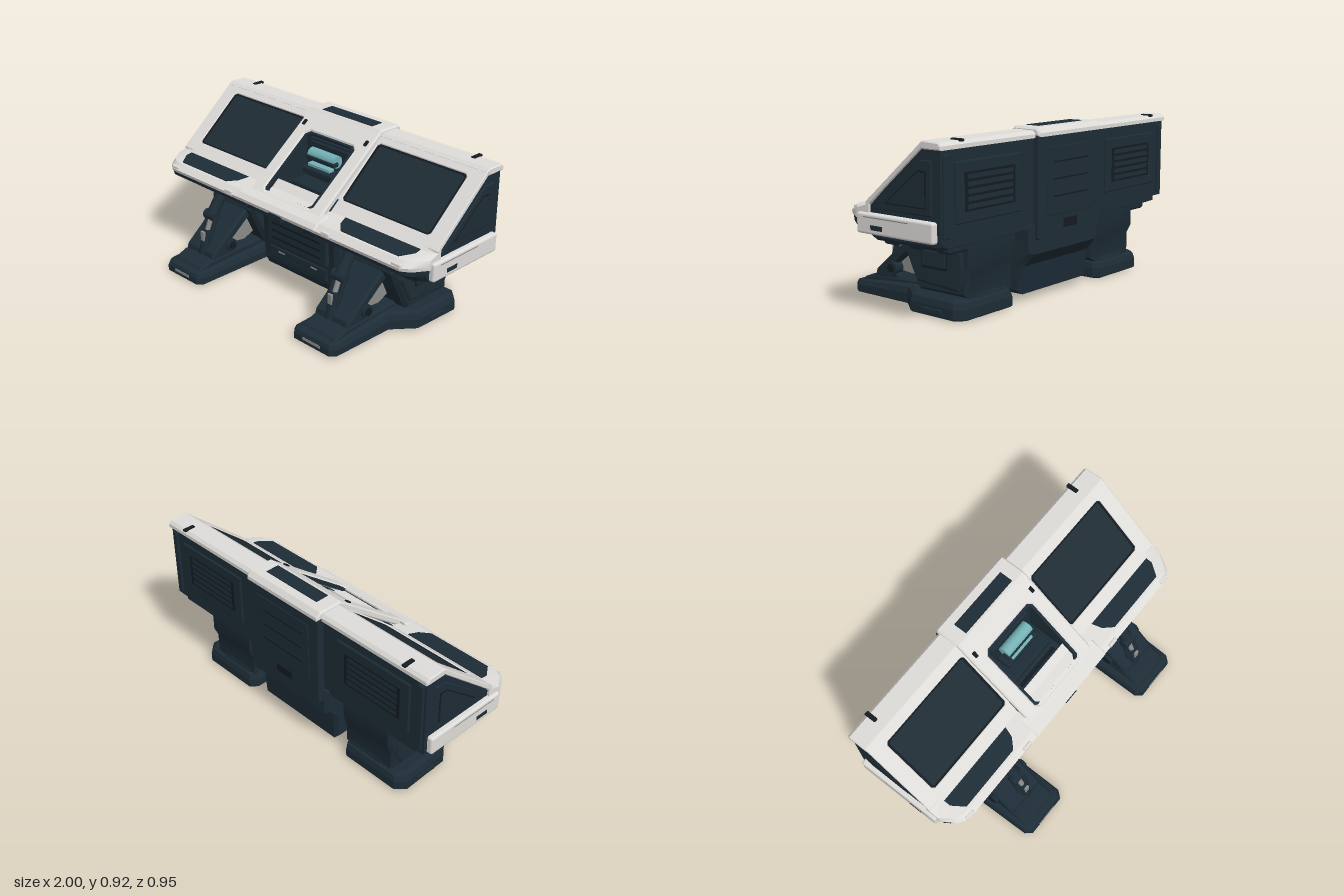
import * as THREE from 'three';
import { toCreasedNormals } from 'three/addons/utils/BufferGeometryUtils.js';
import { RoundedBoxGeometry } from 'three/addons/geometries/RoundedBoxGeometry.js';

const mat = (name, color) => {
  const m = new THREE.MeshStandardMaterial({ color });
  m.name = name;
  return m;
};

export function createModel() {
  const white = mat('white shell', 0xdedcd9), dark = mat('dark blue metal', 0x1d2c36);
  const screenMat = mat('screen glass', 0x1f2c34), teal = mat('teal glow', 0x74b2b6);
  const grey = mat('grey steel', 0x8b8b89), black = mat('black trim', 0x131b21);
  const model = new THREE.Group();
  model.name = 'controlConsole';

  const add = (name, geo, m, parent = model) => {
    const mesh = new THREE.Mesh(geo, m);
    mesh.name = name;
    parent.add(mesh);
    return mesh;
  };
  const poly = (pts) => new THREE.Shape(pts.map(([x, y]) => new THREE.Vector2(x, y)));

  // Profile of [z, y] points swept along x from a to b; rounded pulls in the front corners
  function sweep(name, pts, a, b, m, { bevel = 0, rounded = false } = {}) {
    const lo = Math.min(a, b) + bevel, hi = Math.max(a, b) - bevel;
    let geo = new THREE.ExtrudeGeometry(poly(pts.map(([z, y]) => [-z, y])), {
      depth: hi - lo, steps: rounded ? 40 : 1, bevelEnabled: bevel > 0,
      bevelThickness: bevel, bevelSize: bevel, bevelOffset: -bevel, bevelSegments: 1,
    });
    geo.rotateY(Math.PI / 2).translate(lo, 0, 0);
    if (rounded) {
      const p = geo.attributes.position;
      for (let i = 0; i < p.count; i++) {
        const t = Math.max(0, (Math.abs(p.getX(i)) - 0.87) / 0.11), z = p.getZ(i);
        if (z > 0.03) p.setZ(i, 0.03 + (z - 0.03) * (1 - 0.55 * t * t));
      }
      geo.computeVertexNormals();
    }
    geo = toCreasedNormals(geo, 0.5);
    return add(name, geo, m);
  }
  const box = (name, w, h, d, x, y, z, m, r = 0, parent = model) => {
    const geo = r ? new RoundedBoxGeometry(w, h, d, 2, r) : new THREE.BoxGeometry(w, h, d);
    const b = add(name, geo, m, parent);
    b.position.set(x, y, z);
    return b;
  };
  // Group lying on the slope between two [z, y] points: local y runs uphill, local z outward
  function slope(name, [z0, y0], [z1, y1]) {
    const g = new THREE.Group();
    g.name = name;
    g.position.set(0, (y0 + y1) / 2, (z0 + z1) / 2);
    g.rotation.x = -Math.atan2(z1 - z0, y0 - y1);
    model.add(g);
    return g;
  }
  const chamfered = (x0, x1, y0, y1, c, Type = THREE.Shape) => new Type([
    [x0 + c, y0], [x1 - c, y0], [x1, y0 + c], [x1, y1 - c], [x1 - c, y1], [x0 + c, y1], [x0, y1 - c], [x0, y0 + c],
  ].map(([x, y]) => new THREE.Vector2(x, y)));
  // Flat panel with a chamfered outline and an optional hole
  function panel(name, outer, hole, depth, m, parent, z = 0, bevel = 0) {
    const s = chamfered(...outer);
    if (hole) s.holes.push(chamfered(...hole, THREE.Path));
    const geo = new THREE.ExtrudeGeometry(s, {
      depth: depth - bevel, bevelEnabled: bevel > 0, bevelThickness: bevel, bevelSize: bevel, bevelOffset: -bevel, bevelSegments: 1,
    });
    const p = add(name, geo, m, parent);
    p.position.z = z;
    return p;
  }
  // Cylinder between two [z, y] points at a given x
  function rod(name, x, [z0, y0], [z1, y1], r, m, sides = 10) {
    const c = add(name, new THREE.CylinderGeometry(r, r, Math.hypot(z1 - z0, y1 - y0), sides), m);
    c.position.set(x, (y0 + y1) / 2, (z0 + z1) / 2);
    c.rotation.x = Math.atan2(z1 - z0, y1 - y0);
  }
  const disc = (name, x, y, z, r, w, m) => {
    const d = add(name, new THREE.CylinderGeometry(r, r, w, 16), m);
    d.rotation.z = Math.PI / 2;
    d.position.set(x, y, z);
  };

  // Full-width white top rail and front lip
  sweep('topRail', [[-0.445, 0.86], [-0.445, 0.88], [-0.43, 0.897], [-0.325, 0.9], [-0.305, 0.885], [-0.33, 0.86]], -0.98, 0.98, white, { bevel: 0.006 });
  sweep('frontLip', [[0.03, 0.598], [0.075, 0.561], [0.2, 0.543], [0.235, 0.512], [0.228, 0.492], [0.03, 0.492]], -0.98, 0.98, white, { rounded: true });

  for (const s of [1, -1]) {
    const X = (a, b) => (s > 0 ? [a, b] : [-b, -a]);
    // Wing body and underside tray
    sweep('wingBody', [[-0.432, 0.42], [-0.432, 0.865], [-0.31, 0.865], [0.09, 0.528], [0.22, 0.5], [0.215, 0.465], [0.15, 0.42]], s * 0.25, s * 0.968, dark, { rounded: true });
    sweep('underTray', [[-0.42, 0.39], [-0.42, 0.43], [0.16, 0.43], [0.1, 0.4], [0.05, 0.375], [-0.38, 0.375]], s * 0.25, s * 0.92, dark, { bevel: 0.015 });
    // Sloped screen frame with recessed screen
    const face = slope('screenPanel', [-0.32, 0.895], [0.06, 0.573]);
    panel('screenFrame', [...X(0.25, 0.978), -0.25, 0.25, 0.004], [...X(0.282, 0.885), -0.185, 0.19, 0.015], 0.022, white, face, -0.022, 0.004);
    panel('screenBezel', [...X(0.275, 0.892), -0.195, 0.2, 0.015], [...X(0.295, 0.872), -0.175, 0.18, 0.01], 0.009, black, face, -0.015);
    panel('screen', [...X(0.28, 0.885), -0.19, 0.195, 0.01], null, 0.006, screenMat, face, -0.015);
    // Dark control strip on the lip
    const strip = slope('controlStrip', [0.075, 0.561], [0.2, 0.543]);
    const shape = poly([[0.38, 0.06], [0.89, 0.06], [0.89, 0.02], [0.84, -0.05], [0.45, -0.05], [0.4, 0]].map(([x, y]) => [x * s, y]));
    add('controlPad', new THREE.ExtrudeGeometry(shape, { depth: 0.004, bevelEnabled: false }), dark, strip);
    // White side arm with slot
    box('sideArm', 0.05, 0.105, 0.51, s * 0.974, 0.472, -0.155, white, 0.014);
    box('armGroove', 0.006, 0.005, 0.3, s * 0.997, 0.505, -0.1, grey);
    box('armSlot', 0.006, 0.024, 0.08, s * 0.997, 0.456, -0.04, dark);
    // Triangular side panel: raised rim and inner plate
    const tri = (k) => [[-0.38, 0.81], [-0.31, 0.81], [0.02, 0.545], [-0.38, 0.545]].map(([z, y]) => [-0.27 + (z + 0.27) * k, 0.65 + (y - 0.65) * k]);
    sweep('sideTriangle', tri(1), s * 0.955, s * 0.974, dark, { bevel: 0.006 });
    sweep('sideTriangleInset', tri(0.68), s * 0.97, s * 0.976, black);
    sweep('sideTrianglePlate', tri(0.62), s * 0.97, s * 0.98, dark);
    // Back hatch with louvres
    box('backHatch', 0.5, 0.3, 0.02, s * 0.62, 0.65, -0.432, dark, 0.008);
    box('hatchInset', 0.38, 0.19, 0.006, s * 0.62, 0.65, -0.441, black);
    for (let i = 0; i < 5; i++) box('louvre', 0.34, 0.022, 0.01, s * 0.62, 0.578 + i * 0.036, -0.442, dark);
    box('backEdgeStrip', 0.04, 0.4, 0.02, s * 0.935, 0.64, -0.433, dark, 0.008);
    box('topClip', 0.025, 0.014, 0.07, s * 0.83, 0.898, -0.415, black, 0.005);
    // White bracket chips at the lip
    for (const x of [0.38, 0.86]) box('lipBracket', 0.06, 0.03, 0.02, s * x, 0.515, x > 0.8 ? 0.222 : 0.228, white, 0.006);

    // Leg pod with side plates and knobs
    sweep('legPod', [[-0.375, 0.1], [-0.375, 0.22], [-0.4, 0.27], [-0.4, 0.4], [0.06, 0.4], [0.08, 0.35], [-0.03, 0.12], [-0.05, 0.1]], s * 0.36, s * 0.72, dark, { bevel: 0.02 });
    sweep('podPlate', [[-0.33, 0.13], [-0.36, 0.2], [-0.35, 0.34], [0.02, 0.34], [0.03, 0.3], [-0.05, 0.15]], s * 0.7, s * 0.735, dark, { bevel: 0.012 });
    box('podHatchRim', 0.01, 0.1, 0.175, s * 0.733, 0.278, -0.17, black, 0.004);
    box('podHatch', 0.02, 0.085, 0.16, s * 0.735, 0.278, -0.17, dark, 0.008);
    for (const z of [-0.08, -0.21]) disc('podKnob', s * 0.72, 0.355, z, 0.025, 0.07, dark);
    for (const z of [0.01, -0.16, -0.34]) box('podPad', 0.14, 0.06, 0.1, s * 0.79, 0.375, z, dark, 0.02);
    box('innerBrace', 0.07, 0.28, 0.3, s * 0.335, 0.25, -0.17, dark, 0.02);

    // Foot: outline widening to the back, lower at the toe
    const plan = [[0.4, 0.475], [0.65, 0.475], [0.68, 0.44], [0.69, 0.06], [0.79, -0.06], [0.8, -0.35], [0.75, -0.4], [0.4, -0.4], [0.37, -0.36], [0.37, 0.44]];
    const foot = new THREE.ExtrudeGeometry(poly(plan.map(([x, z]) => [x * s, -z])), {
      depth: 0.04, bevelEnabled: true, bevelThickness: 0.035, bevelSize: 0.035, bevelOffset: -0.035, bevelSegments: 2,
    });
    foot.rotateX(-Math.PI / 2);
    const p = foot.attributes.position;
    for (let i = 0; i < p.count; i++) {
      const y = p.getY(i);
      p.setY(i, y < 0 ? (y + 0.035) * 0.3 : 0.0105 + y * (p.getZ(i) > 0.3 ? 0.85 : 1.25));
    }
    foot.computeVertexNormals();
    add('foot', foot, dark);
    sweep('footRidge', [[0.44, 0.06], [0.42, 0.085], [0.35, 0.112], [0.05, 0.125], [-0.37, 0.14], [-0.39, 0.06]], s * 0.41, s * 0.65, dark, { bevel: 0.012 });
    box('toePlate', 0.13, 0.02, 0.03, s * 0.525, 0.035, 0.462, grey, 0.005);
    box('footSidePlate', 0.012, 0.025, 0.13, s * 0.798, 0.035, -0.21, dark, 0.004);

    // Diagonal strut, grey web and pivot
    sweep('legStrut', [[0.34, 0.1], [0.33, 0.14], [0.2, 0.25], [0.06, 0.36], [-0.02, 0.36], [-0.02, 0.3], [0.06, 0.285], [0.19, 0.185], [0.16, 0.11]], s * 0.41, s * 0.65, dark, { bevel: 0.012 });
    sweep('legWeb', [[0.2, 0.19], [0.17, 0.15], [0.06, 0.14], [-0.01, 0.17], [0.0, 0.3], [0.08, 0.285]], s * 0.45, s * 0.61, grey);
    disc('pivotRim', s * 0.53, 0.165, 0.2, 0.036, 0.27, dark);
    disc('pivotCap', s * 0.53, 0.165, 0.2, 0.022, 0.285, black);
    // Front piston
    rod('pistonSleeve', s * 0.51, [0.17, 0.45], [0.255, 0.33], 0.034, dark);
    disc('pistonJoint', s * 0.51, 0.335, 0.252, 0.03, 0.085, dark);
    rod('pistonRod', s * 0.51, [0.25, 0.34], [0.31, 0.2], 0.015, grey);
    rod('pistonBase', s * 0.51, [0.285, 0.255], [0.32, 0.11], 0.03, dark);
    box('pistonCap', 0.03, 0.06, 0.015, s * 0.51, 0.225, 0.322, grey, 0.004);
    for (const dx of [-0.035, 0.035]) rod('pistonRail', s * 0.51 + dx, [0.25, 0.335], [0.3, 0.2], 0.012, dark, 6);
    // Walls beside the centre bay
    sweep('bayWall', [[-0.455, 0.36], [-0.455, 0.87], [-0.32, 0.87], [0.12, 0.53], [0.21, 0.5], [0.2, 0.45], [0.1, 0.38]], s * 0.185, s * 0.27, dark);
  }

  // Centre bay: notched body, white frame, top cap and lip
  sweep('bayBody', [[-0.455, 0.36], [-0.455, 0.87], [-0.31, 0.87], [-0.2, 0.79], [-0.2, 0.53], [0.12, 0.51], [0.2, 0.51], [0.2, 0.45], [0.1, 0.38]], -0.19, 0.19, dark);
  const bay = slope('bayPanel', [-0.31, 0.912], [0.17, 0.548]);
  panel('bayFrame', [-0.272, 0.272, -0.301, 0.301, 0.01], [-0.188, 0.188, -0.276, 0.163, 0.025], 0.03, white, bay, -0.03, 0.008);
  panel('bayGasket', [-0.192, 0.192, -0.282, 0.17, 0.025], [-0.172, 0.172, -0.264, 0.151, 0.02], 0.022, dark, bay, -0.03);
  for (const x of [-0.235, 0.235]) box('bayLatch', 0.02, 0.035, 0.012, x, 0.2, 0.002, black, 0.004, bay);
  sweep('bayTopCap', [[-0.472, 0.865], [-0.472, 0.885], [-0.45, 0.912], [-0.31, 0.914], [-0.29, 0.895], [-0.33, 0.865]], -0.272, 0.272, white, { bevel: 0.01 });
  box('topVent', 0.38, 0.008, 0.08, 0, 0.912, -0.362, dark);
  sweep('bayLip', [[0.13, 0.566], [0.17, 0.552], [0.215, 0.54], [0.238, 0.515], [0.23, 0.495], [0.13, 0.495]], -0.31, 0.31, white, { bevel: 0.01 });
  box('lipLatch', 0.1, 0.045, 0.03, 0, 0.485, 0.22, dark, 0.008);

  // Glowing core inside the bay
  box('coreBacking', 0.3, 0.2, 0.02, 0, 0.68, -0.195, dark, 0.008);
  const core = add('glowTube', new THREE.CylinderGeometry(0.036, 0.036, 0.2, 20), teal);
  core.rotation.z = Math.PI / 2;
  core.position.set(0, 0.725, -0.15);
  box('coreBand', 0.22, 0.026, 0.045, 0, 0.714, -0.13, dark, 0.008);
  box('glowBar', 0.17, 0.02, 0.04, 0, 0.677, -0.12, teal, 0.005);
  box('coreShelf', 0.25, 0.04, 0.09, 0, 0.637, -0.14, dark, 0.01);
  box('bayStep', 0.32, 0.06, 0.12, 0, 0.55, -0.1, dark, 0.012);
  for (let i = 0; i < 4; i++) box('bayFloorSlat', 0.3, 0.01, 0.02, 0, 0.525, -0.01 + i * 0.037, black);

  // Centre pedestal under the bay
  sweep('pedestal', [[-0.37, 0.04], [-0.38, 0.19], [-0.445, 0.26], [-0.445, 0.42], [0.09, 0.42], [0.06, 0.36], [0.05, 0.09], [0.02, 0.04]], -0.3, 0.3, dark, { bevel: 0.022 });
  box('pedestalFrontPanel', 0.48, 0.19, 0.04, 0, 0.295, 0.055, dark, 0.016);
  for (let i = 0; i < 3; i++) box('frontSlot', 0.38, 0.012, 0.008, 0, 0.25 + i * 0.045, 0.073, black);
  box('pedestalLowerPanel', 0.46, 0.08, 0.03, 0, 0.145, 0.045, dark, 0.012);
  for (const x of [-0.13, 0.13]) box('lowerMark', 0.05, 0.008, 0.006, x, 0.16, 0.06, grey);

  // Centre back cover with vents
  sweep('backCover', [[-0.44, 0.335], [-0.47, 0.34], [-0.47, 0.865], [-0.44, 0.88], [-0.42, 0.335]], -0.272, 0.272, dark, { bevel: 0.008 });
  box('backCoverPlate', 0.4, 0.36, 0.01, 0, 0.63, -0.469, dark, 0.004);
  for (let i = 0; i < 3; i++) box('backCoverGroove', 0.3, 0.008, 0.005, 0, 0.55 + i * 0.09, -0.473, black);
  box('backPort', 0.12, 0.05, 0.01, 0, 0.4, -0.468, black, 0.004);
  return model;
}
